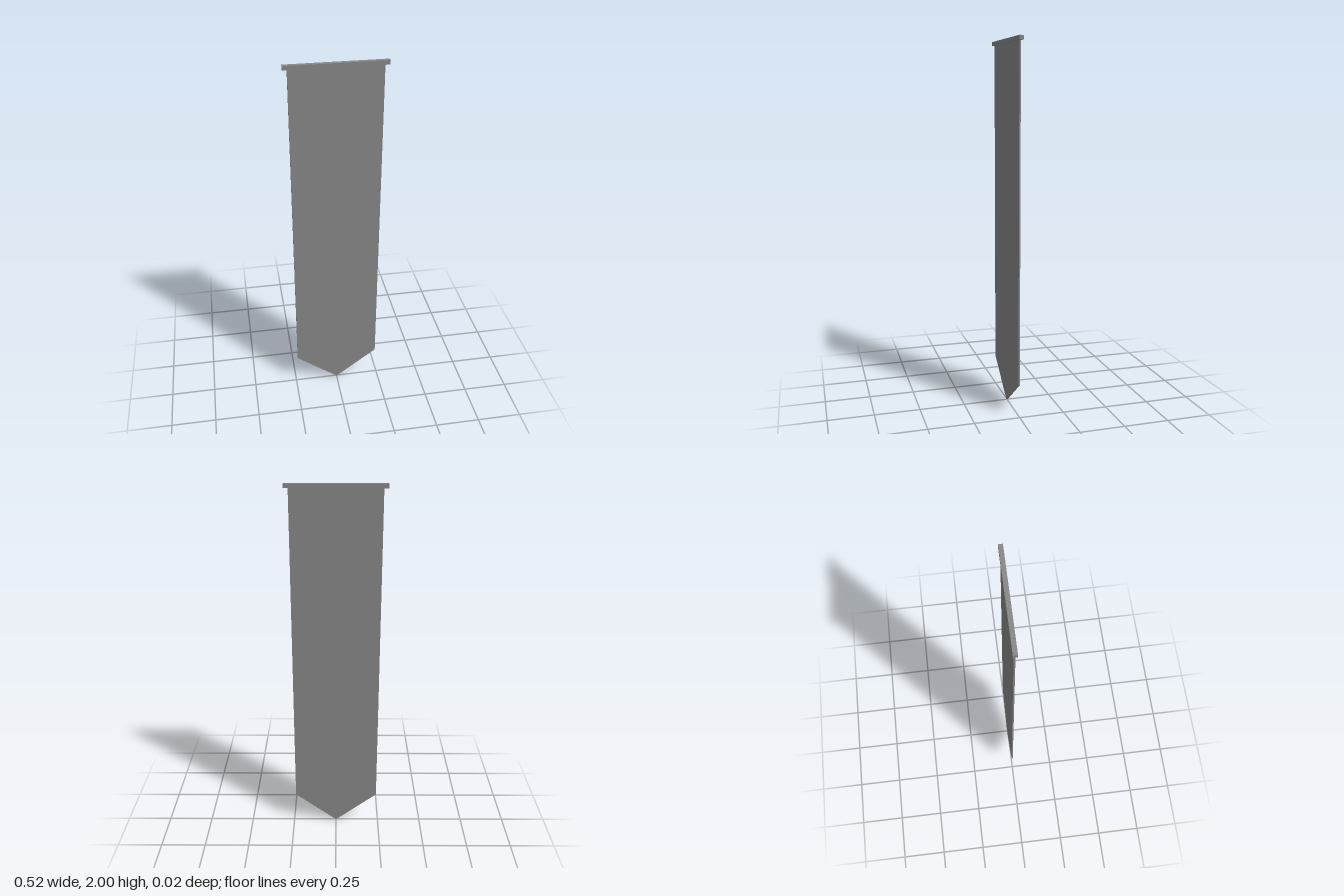
import * as THREE from 'three';

const BAR = { width: 0.52, size: 0.022 };
const CLOTH = { half: 0.237, shoulder: 0.18, top: 2 - BAR.size / 2, thickness: 0.008 };

export function createModel() {
  const group = new THREE.Group();
  group.name = 'hangingBanner';
  const material = new THREE.MeshStandardMaterial({ color: 0x888888, flatShading: true });

  // Square rod along the top
  const rod = new THREE.Mesh(new THREE.BoxGeometry(BAR.width, BAR.size, BAR.size), material);
  rod.name = 'topRod';
  rod.position.y = 2 - BAR.size / 2;
  group.add(rod);

  // Thin cloth with a pointed lower end, tucked into the rod
  const outline = new THREE.Shape();
  outline.moveTo(0, 0);
  outline.lineTo(CLOTH.half, CLOTH.shoulder);
  outline.lineTo(CLOTH.half, CLOTH.top);
  outline.lineTo(-CLOTH.half, CLOTH.top);
  outline.lineTo(-CLOTH.half, CLOTH.shoulder);
  outline.closePath();
  const geometry = new THREE.ExtrudeGeometry(outline, { depth: CLOTH.thickness, bevelEnabled: false });
  geometry.translate(0, 0, -CLOTH.thickness / 2);
  const cloth = new THREE.Mesh(geometry, material);
  cloth.name = 'cloth';
  group.add(cloth);

  return group;
}
